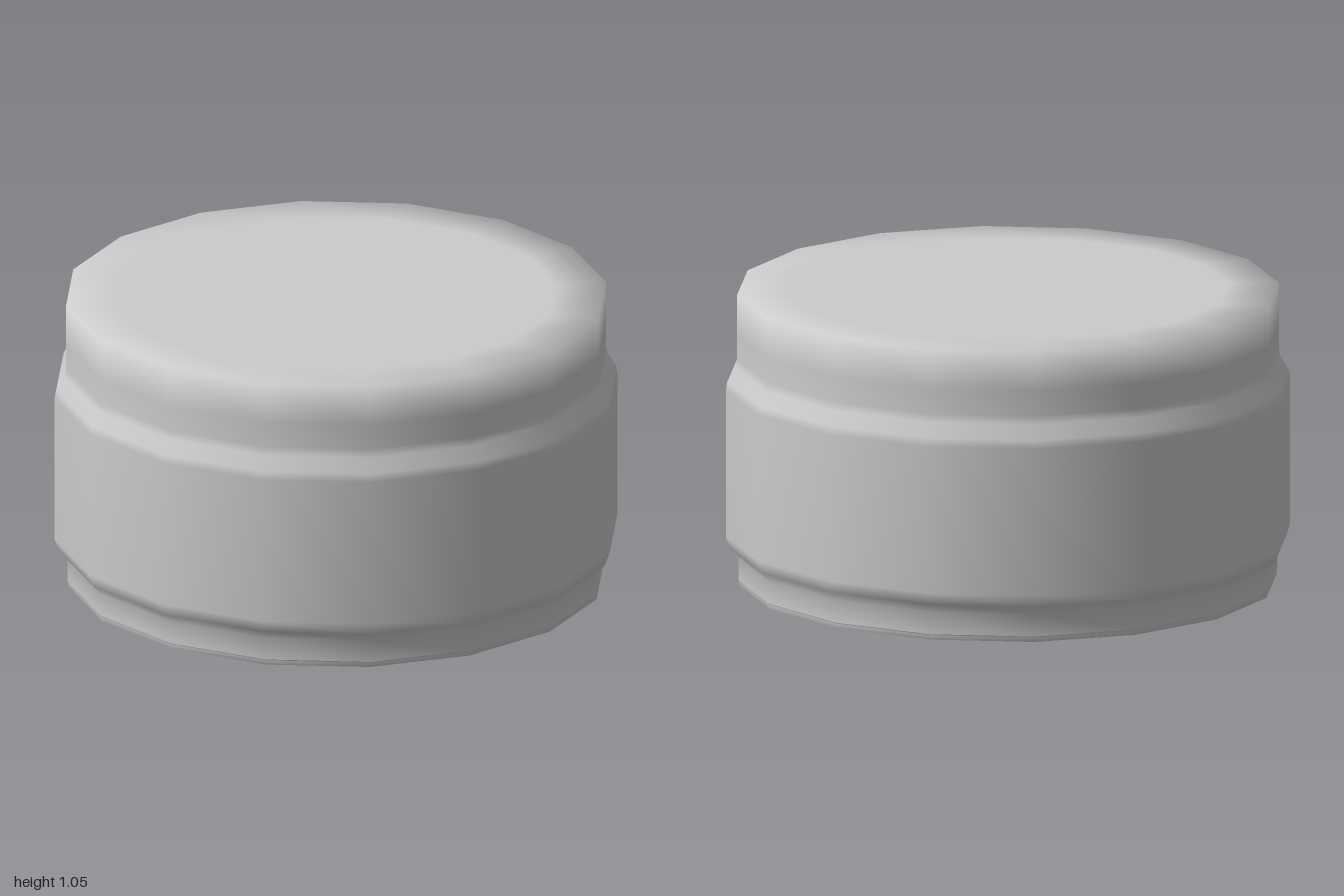
import * as THREE from 'three';

const SIDES = 16;

// Smooth sixteen-sided turned surface from [radius, height] pairs
function turned(name, profile, material) {
  const points = profile.map(([r, y]) => new THREE.Vector2(r, y));
  const mesh = new THREE.Mesh(new THREE.LatheGeometry(points, SIDES), material);
  mesh.name = name;
  return mesh;
}

export function createModel() {
  const group = new THREE.Group();
  group.name = 'cap';
  const material = new THREE.MeshStandardMaterial({ color: 0xcccccc, side: THREE.DoubleSide });

  // Hollow skin, open below: foot, wide belly, neck and flat top with a softly shaded edge
  group.add(turned('shell', [
    [0.955, 0.02], [0.955, 0.1], [0.985, 0.135], [1, 0.18],
    [1, 0.71], [0.995, 0.74], [0.965, 0.79], [0.96, 0.82],
    [0.96, 0.91], [0.96, 1.055], [0.78, 1.055], [0, 1.055],
  ], material));

  // Thin lip around the open bottom, folded slightly inward
  group.add(turned('bottomLip', [
    [0.946, 0.02], [0.946, 0], [0.952, 0], [0.952, 0.015], [0.955, 0.02],
  ], material));

  return group;
}
